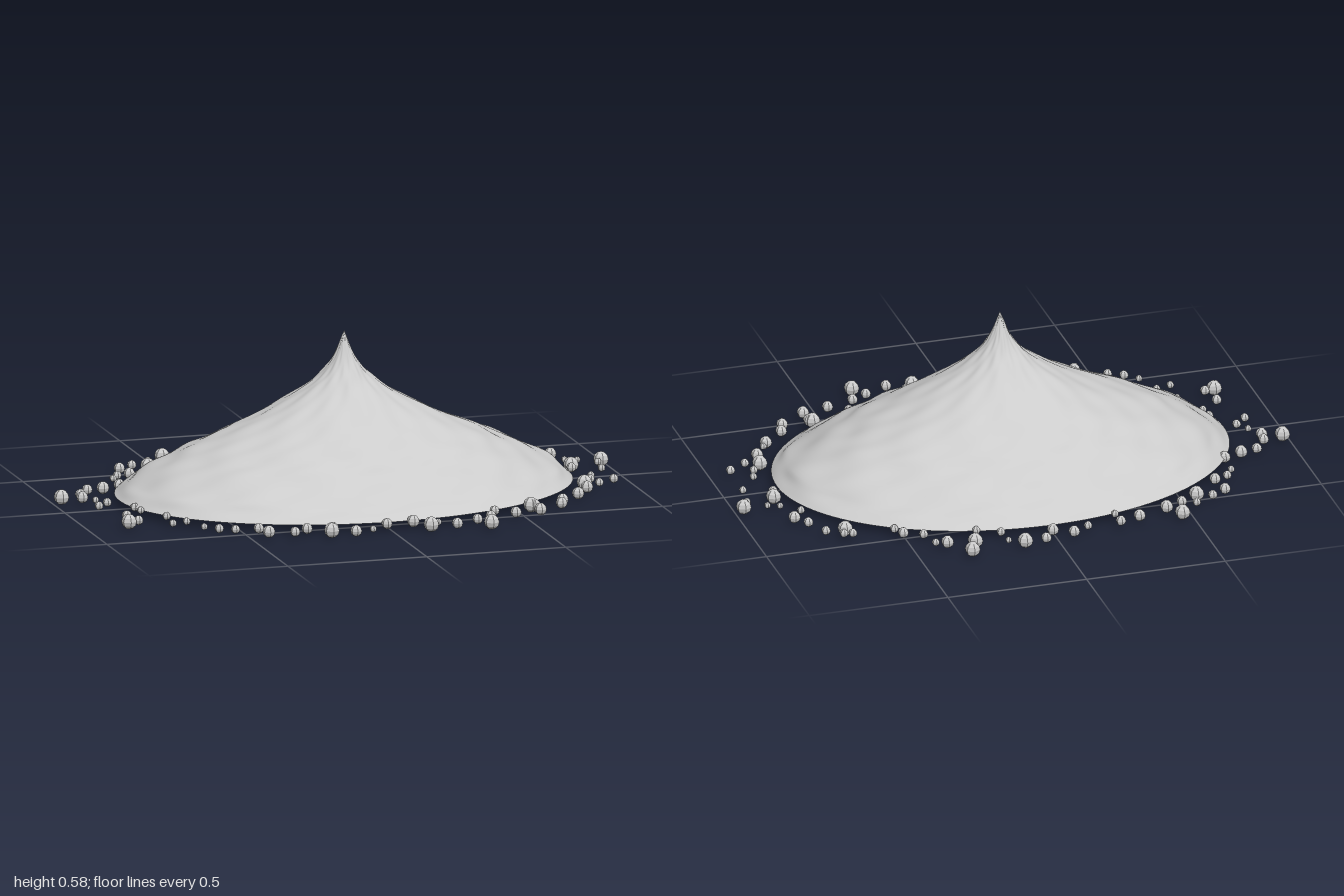
import * as THREE from 'three';

const material = new THREE.MeshStandardMaterial({ color: 0xcccccc });
const pebbleMaterial = new THREE.MeshStandardMaterial({ color: 0xcccccc, flatShading: true });
const CENTRE_X = 0.008, CENTRE_Z = -0.016, BASE_Y = 0.032;
const HALF_WIDTH = 0.807, HALF_DEPTH = 0.582;

// Profile of the heap from rim to peak: half width, height, half depth
const profile = new THREE.CatmullRomCurve3([
  [HALF_WIDTH, BASE_Y, HALF_DEPTH], [0.745, 0.085, 0.5], [0.61, 0.16, 0.393],
  [0.49, 0.215, 0.322], [0.315, 0.29, 0.23], [0.122, 0.4, 0.108], [0.045, 0.48, 0.045],
  [0, 0.583, 0],
].map((p) => new THREE.Vector3(...p)));

// Soft irregular ripples over the slopes
function ripple(a, u) {
  return 0.4 * Math.sin(5 * a + 9 * u + 1) + 0.35 * Math.sin(11 * a - 23 * u)
    + 0.3 * Math.sin(3 * a + 41 * u + 2) + 0.25 * Math.sin(19 * a + 31 * u + 4);
}

function heapGeometry(rings = 64, sides = 128) {
  const positions = [], index = [];
  for (let i = 0; i <= rings; i++) {
    const u = i / rings;
    const p = profile.getPoint(u);
    const strength = 0.011 * Math.min(1, u * 8) * Math.pow(1 - u, 0.7);
    for (let j = 0; j < sides; j++) {
      const a = (j / sides) * Math.PI * 2;
      const bump = strength * ripple(a, u);
      positions.push(
        CENTRE_X + (p.x + bump * 0.6) * Math.cos(a),
        p.y + bump * 0.5,
        CENTRE_Z + 0.006 * u + (p.z + bump * 0.6) * Math.sin(a),
      );
      if (i === rings) continue;
      const a0 = i * sides + j, b0 = i * sides + (j + 1) % sides;
      index.push(a0, a0 + sides, b0, b0, a0 + sides, b0 + sides);
    }
  }
  const geometry = new THREE.BufferGeometry();
  geometry.setAttribute('position', new THREE.Float32BufferAttribute(positions, 3));
  geometry.setIndex(index);
  geometry.computeVertexNormals();
  return geometry;
}

// Seeded random numbers from 0 to 1
function seededRandom(seed) {
  return () => {
    seed = (seed * 16807) % 2147483647;
    return seed / 2147483647;
  };
}

// The biggest pebbles as x, z pairs
const largePebbles = [
  [0.125, -0.69], [0.29, -0.64], [-0.46, -0.63], [-0.55, -0.5], [-0.975, 0.125 - 0.25],
  [-0.86, 0.3], [-0.23, 0.63], [0.125, 0.64], [0.335, 0.665], [0.54, 0.455],
  [0.815, 0.18], [0.973, 0.145 - 0.29], [0.85, -0.095], [0.69, -0.415], [0.32, -0.705],
];

function createPebbles() {
  const pebbles = new THREE.Group();
  pebbles.name = 'pebbles';
  const geometry = new THREE.SphereGeometry(1, 6, 6).rotateY(Math.PI / 6);
  const addPebble = (name, radius, x, z) => {
    const pebble = new THREE.Mesh(geometry, pebbleMaterial);
    pebble.name = name;
    pebble.position.set(x, 0.033, z);
    pebble.scale.setScalar(radius);
    pebbles.add(pebble);
  };
  for (const [x, z] of largePebbles) addPebble('largePebble', 0.027, x, z);

  // Smaller pebbles strewn in a ring that follows the rim
  const random = seededRandom(4271);
  const count = 78;
  for (let i = 0; i < count; i++) {
    const a = ((i + random()) / count) * Math.PI * 2;
    const spread = 0.99 + 0.2 * random();
    addPebble('smallPebble', 0.011 + 0.012 * random(),
      CENTRE_X + HALF_WIDTH * spread * Math.cos(a),
      CENTRE_Z + HALF_DEPTH * spread * Math.sin(a));
  }
  return pebbles;
}

export function createModel() {
  const model = new THREE.Group();
  model.name = 'heapWithPebbles';

  const heap = new THREE.Mesh(heapGeometry(), material);
  heap.name = 'heap';
  model.add(heap);

  // Flat underside closing the heap
  const underside = new THREE.Mesh(new THREE.CircleGeometry(1, 128), material);
  underside.name = 'underside';
  underside.rotation.x = Math.PI / 2;
  underside.scale.set(HALF_WIDTH, HALF_DEPTH, 1);
  underside.position.set(CENTRE_X, BASE_Y, CENTRE_Z);
  model.add(underside);

  model.add(createPebbles());
  return model;
}
